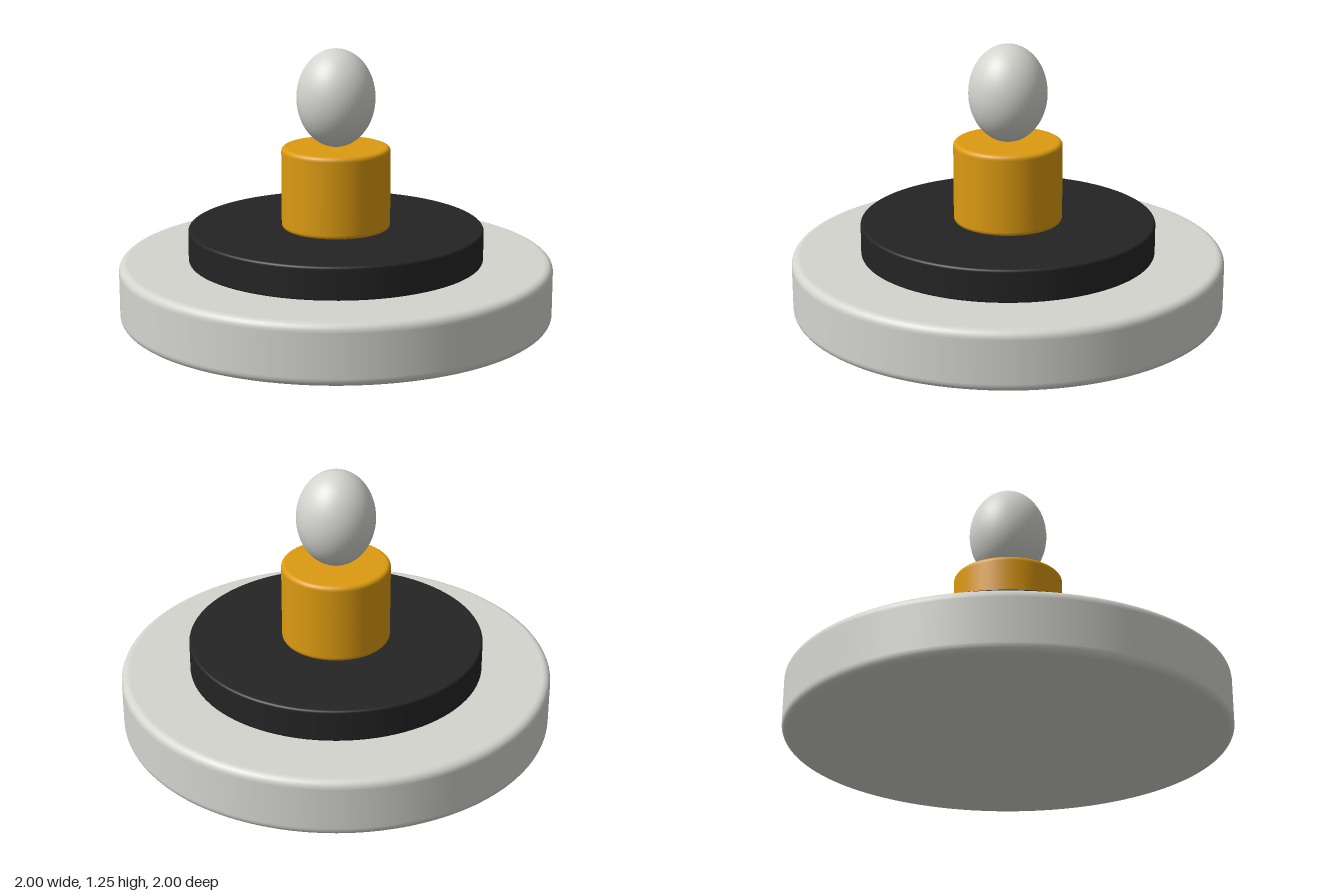
import * as THREE from 'three';

// Disc with rounded rims; short support steps beside each rim keep the flats shading flat.
function roundedDisc(radius, y0, y1, bevel) {
  const e = bevel * 0.1, steps = 6;
  const points = [new THREE.Vector2(0, y0), new THREE.Vector2(radius - bevel - e, y0)];
  const addRim = (cy, start) => {
    for (let i = 0; i <= steps; i++) {
      const a = start + (i / steps) * Math.PI / 2;
      points.push(new THREE.Vector2(radius - bevel + bevel * Math.cos(a), cy + bevel * Math.sin(a)));
    }
  };
  addRim(y0 + bevel, -Math.PI / 2);
  points.push(new THREE.Vector2(radius, y0 + bevel + e), new THREE.Vector2(radius, y1 - bevel - e));
  addRim(y1 - bevel, 0);
  points.push(new THREE.Vector2(radius - bevel - e, y1), new THREE.Vector2(0, y1));
  return new THREE.LatheGeometry(points, 96);
}

export function createModel() {
  const model = new THREE.Group();
  model.name = 'tieredStand';

  const material = (name, color) => {
    const m = new THREE.MeshStandardMaterial({ color });
    m.name = name;
    return m;
  };
  const paleGrey = material('paleGrey', 0xd4d4cf);
  const black = material('black', 0x242424);
  const amber = material('amber', 0xdc9a10);

  const add = (name, geometry, mat) => {
    const mesh = new THREE.Mesh(geometry, mat);
    mesh.name = name;
    model.add(mesh);
    return mesh;
  };

  // Stacked tiers
  add('base', roundedDisc(1, 0, 0.275, 0.035), paleGrey);
  add('middleDisc', roundedDisc(0.68, 0.27, 0.425, 0.012), black);
  add('column', roundedDisc(0.25, 0.42, 0.8, 0.02), amber);

  // Egg-shaped finial resting on the column
  const finial = add('finial', new THREE.SphereGeometry(1, 48, 32), paleGrey);
  finial.scale.set(0.18, 0.225, 0.18);
  finial.position.y = 1.025;

  return model;
}
